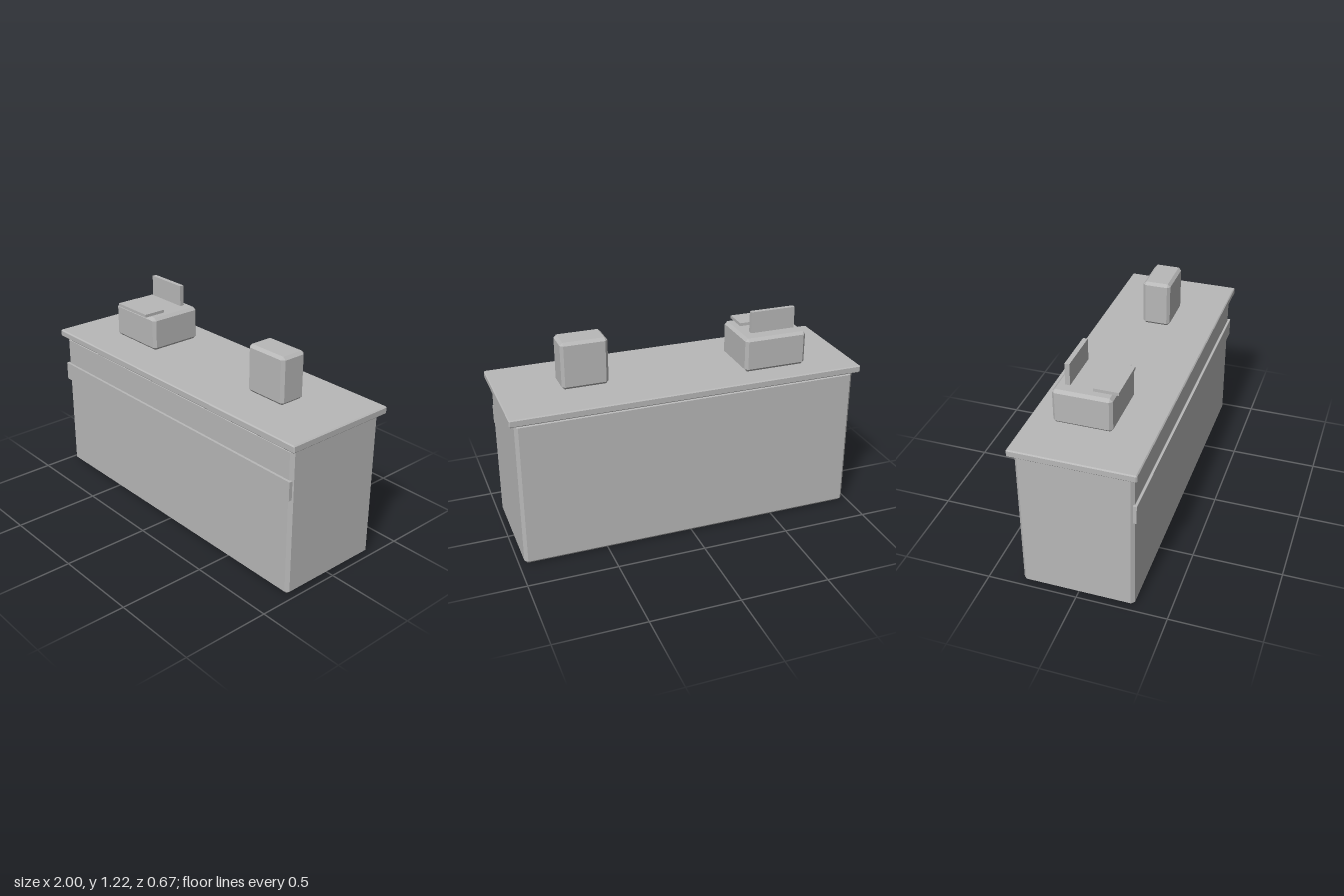
import * as THREE from 'three';
import { ConvexGeometry } from 'three/addons/geometries/ConvexGeometry.js';

// Box with every edge cut by a flat chamfer
function chamferBox(w, h, d, c) {
  const points = [];
  for (const x of [-1, 1]) for (const y of [-1, 1]) for (const z of [-1, 1]) {
    for (let flat = 0; flat < 3; flat++) {
      const inset = [c, c, c];
      inset[flat] = 0;
      points.push(new THREE.Vector3(
        x * (w / 2 - inset[0]), y * (h / 2 - inset[1]), z * (d / 2 - inset[2])));
    }
  }
  return new ConvexGeometry(points);
}

export function createModel() {
  const model = new THREE.Group();
  model.name = 'serviceCounter';
  const grey = new THREE.MeshStandardMaterial({ color: 0xb8b8b8 });
  grey.name = 'plain grey';

  // Adds a box spanning the given ranges, chamfered when asked
  function addBox(parent, name, [x0, x1], [y0, y1], [z0, z1], chamfer = 0) {
    const size = [x1 - x0, y1 - y0, z1 - z0];
    const geometry = chamfer ? chamferBox(...size, chamfer) : new THREE.BoxGeometry(...size);
    const mesh = new THREE.Mesh(geometry, grey);
    mesh.name = name;
    mesh.position.set((x0 + x1) / 2, (y0 + y1) / 2, (z0 + z1) / 2);
    parent.add(mesh);
  }

  // Counter body, worktop and front trim
  addBox(model, 'cabinet', [-0.97, 0.97], [0, 0.845], [-0.311, 0.311], 0.018);
  addBox(model, 'worktop', [-1, 1], [0.845, 0.887], [-0.335, 0.335], 0.006);
  addBox(model, 'frontBand', [-0.97, 0.97], [0.569, 0.675], [0.305, 0.325]);

  // Cash register with keypad and upright display
  const register = new THREE.Group();
  register.name = 'cashRegister';
  addBox(register, 'registerBody', [-0.714, -0.35], [0.887, 1.083], [-0.204, 0.115], 0.016);
  addBox(register, 'keypad', [-0.662, -0.402], [1.083, 1.1], [0, 0.135]);
  addBox(register, 'display', [-0.662, -0.402], [1.094, 1.215], [-0.146, -0.12]);
  model.add(register);

  // Box standing at the other end
  addBox(model, 'counterBox', [0.396, 0.657], [0.887, 1.154], [-0.08, 0.08], 0.016);

  return model;
}
